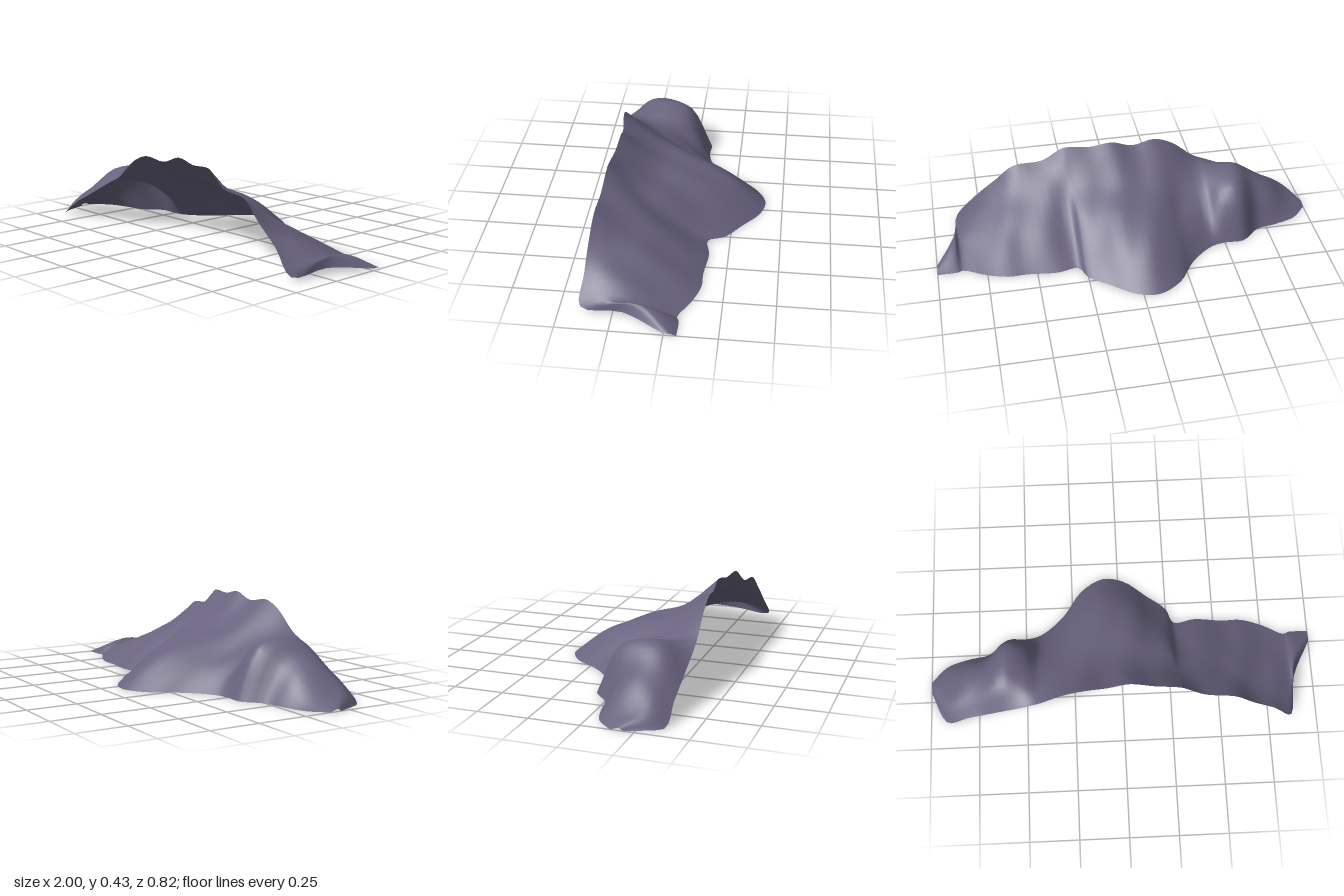
import * as THREE from 'three';

// Cross-sections from the right end to the left end of the slope:
// x, front z, heights at the front edge / quarter / half / three quarters, back z (on the ground)
const SECTIONS = [
  [-1, 0.2, 0, 0.01, 0.01, 0.005, 0.14],
  [-0.92, 0.36, 0, 0.06, 0.06, 0.04, 0.06],
  [-0.8, 0.365, 0.08, 0.14, 0.15, 0.11, 0.02],
  [-0.7, 0.365, 0.13, 0.21, 0.22, 0.16, 0],
  [-0.6, 0.365, 0.18, 0.27, 0.275, 0.23, -0.08],
  [-0.5, 0.365, 0.23, 0.265, 0.26, 0.21, -0.08],
  [-0.42, 0.36, 0.27, 0.235, 0.19, 0.11, -0.1],
  [-0.3, 0.355, 0.37, 0.27, 0.18, 0.1, -0.2],
  [-0.2, 0.35, 0.41, 0.28, 0.2, 0.12, -0.34],
  [-0.08, 0.335, 0.395, 0.275, 0.22, 0.14, -0.41],
  [0.03, 0.33, 0.43, 0.275, 0.215, 0.135, -0.39],
  [0.15, 0.34, 0.41, 0.275, 0.2, 0.11, -0.3],
  [0.25, 0.35, 0.415, 0.27, 0.185, 0.085, -0.22],
  [0.29, 0.355, 0.41, 0.28, 0.18, 0.08, -0.14],
  [0.4, 0.37, 0.335, 0.26, 0.175, 0.09, -0.155],
  [0.55, 0.38, 0.315, 0.22, 0.16, 0.08, -0.14],
  [0.65, 0.39, 0.23, 0.18, 0.13, 0.07, -0.14],
  [0.77, 0.395, 0.13, 0.13, 0.1, 0.05, -0.1],
  [0.87, 0.4, 0.02, 0.07, 0.07, 0.04, -0.05],
  [0.9, 0.2, 0.03, 0.08, 0.07, 0.04, -0.06],
  [1, 0, 0.01, 0.01, 0.01, 0.005, -0.06],
];

const ROWS = 16;       // steps from front edge to back edge
const PER_SECTION = 4; // steps between neighbouring sections

function createSlopeGeometry() {
  // One smooth curve along x for each of the five rows of control points
  const curves = [0, 1, 2, 3, 4].map((r) => new THREE.CatmullRomCurve3(
    SECTIONS.map((s) => new THREE.Vector3(
      s[0], r < 4 ? s[2 + r] : 0, THREE.MathUtils.lerp(s[1], s[6], r / 4)))));

  const columns = (SECTIONS.length - 1) * PER_SECTION;
  const positions = [];
  const indices = [];
  for (let i = 0; i <= columns; i++) {
    // Smooth profile from the crest down to the ground
    const profile = new THREE.CatmullRomCurve3(curves.map((c) => c.getPoint(i / columns)));
    for (let j = 0; j <= ROWS; j++) {
      const t = j / ROWS;
      const p = profile.getPoint(t);
      // Shallow gullies, fading out at the edges
      const gully = 0.006 * Math.sin(p.x * 31 + p.z * 9) * Math.sin(Math.PI * t);
      const fade = Math.min(1, (1 - Math.abs(p.x)) * 6);
      positions.push(p.x, Math.max(0, p.y + gully * fade), p.z);
    }
  }
  for (let i = 0; i < columns; i++) {
    for (let j = 0; j < ROWS; j++) {
      const a = i * (ROWS + 1) + j;
      const b = a + ROWS + 1;
      indices.push(a, b, a + 1, b, b + 1, a + 1);
    }
  }
  const geometry = new THREE.BufferGeometry();
  geometry.setAttribute('position', new THREE.Float32BufferAttribute(positions, 3));
  geometry.setIndex(indices);
  geometry.computeVertexNormals();
  return geometry;
}

export function createModel() {
  const group = new THREE.Group();
  group.name = 'rockySlope';

  const rock = new THREE.MeshStandardMaterial({ color: 0x69637f, side: THREE.DoubleSide });
  rock.name = 'slate purple rock';

  // Open shell of rock, hollow towards the front
  const slope = new THREE.Mesh(createSlopeGeometry(), rock);
  slope.name = 'rockShell';
  group.add(slope);
  return group;
}
